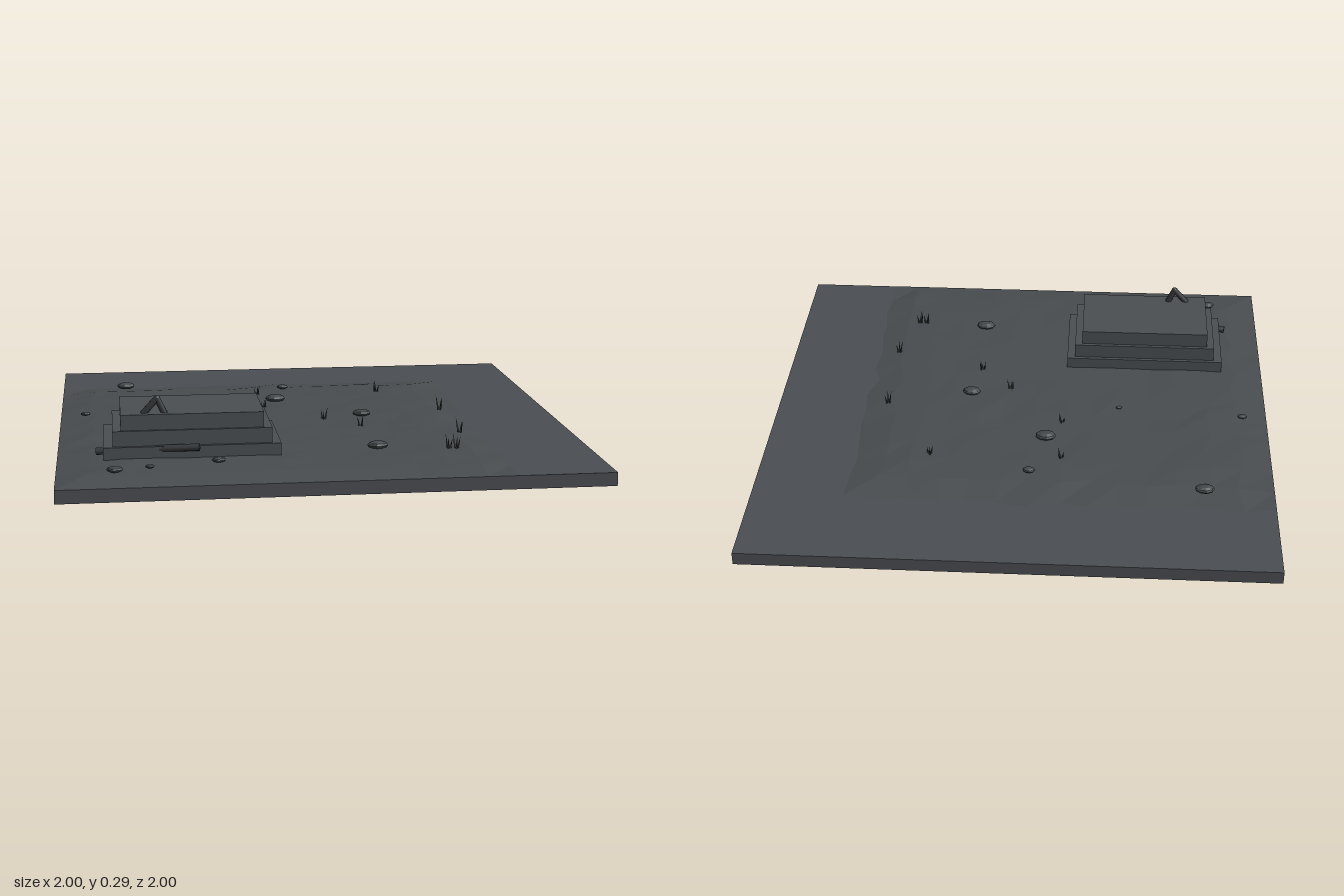
import * as THREE from 'three';

const mat = (name, color) => {
  const m = new THREE.MeshStandardMaterial({ color });
  m.name = name;
  return m;
};

export function createModel() {
  const model = new THREE.Group();
  const ground = mat('slate ground', 0x4a4d52);
  const soil = mat('grey soil', 0x484c4f);
  const masonry = mat('stone grey', 0x4a4e52);
  const pebble = mat('pebble grey', 0x44484b);
  pebble.flatShading = true;
  soil.flatShading = true;
  const metal = mat('dark iron', 0x34373a);
  const grass = mat('dark grass', 0x303433);
  grass.side = THREE.DoubleSide;

  const add = (name, geometry, material, x = 0, y = 0, z = 0) => {
    const mesh = new THREE.Mesh(geometry, material);
    mesh.name = name;
    mesh.position.set(x, y, z);
    model.add(mesh);
    return mesh;
  };

  let seed = 7;
  const rand = () => (seed = (seed * 16807) % 2147483647) / 2147483647 - 0.5;

  // Ground slab
  add('groundSlab', new THREE.BoxGeometry(2, 0.05, 2), ground, 0, 0.025, 0);

  // Low mound: a grid that rises from its border to an uneven plateau
  const N = 14;
  const mound = new THREE.PlaneGeometry(2, 2, N, N).rotateX(-Math.PI / 2);
  const p = mound.attributes.position;
  const spread = (i, low, high, lowRim, highRim) => {
    if (i === 0) return low;
    if (i === N) return high;
    const t = (i - 1) / (N - 2);
    return low + lowRim + t * (high - highRim - low - lowRim);
  };
  for (let i = 0; i < p.count; i++) {
    const c = i % (N + 1), r = Math.floor(i / (N + 1));
    const ring = Math.min(c, r, N - c, N - r);
    let x = spread(c, -1, 0.63, 0.13, 0.11);
    let z = spread(r, -0.64, 1, 0.13, 0.13);
    const j = rand() * 0.04, k = rand() * 0.04;
    if (c > 0) x += j;
    if (r < N) z += k;
    const rise = ring === 0 ? 0.0005 : ring === 1 ? 0.016 + rand() * 0.004 : 0.021 + rand() * 0.005;
    p.setXYZ(i, x, 0.05 + rise, z);
  }
  mound.computeVertexNormals();
  add('mound', mound, soil);

  // Stepped stone block, three tiers: x0, x1, z0, z1, bottom, top
  [
    [-0.83, -0.178, 0.31, 0.683, 0.05, 0.115],
    [-0.795, -0.21, 0.325, 0.67, 0.115, 0.172],
    [-0.765, -0.24, 0.34, 0.66, 0.172, 0.23],
  ].forEach(([x0, x1, z0, z1, y0, y1], i) => {
    add('blockTier' + (i + 1), new THREE.BoxGeometry(x1 - x0, y1 - y0, z1 - z0), masonry,
      (x0 + x1) / 2, (y0 + y1) / 2, (z0 + z1) / 2);
  });

  // Round rod between two points
  const rod = (name, a, b, radius) => {
    const A = new THREE.Vector3(...a), B = new THREE.Vector3(...b);
    const dir = B.clone().sub(A);
    const mesh = add(name, new THREE.CylinderGeometry(radius, radius, dir.length(), 10), metal);
    mesh.position.copy(A).add(B).multiplyScalar(0.5);
    mesh.quaternion.setFromUnitVectors(new THREE.Vector3(0, 1, 0), dir.normalize());
  };

  // Bent handle on top and a bar through the foot of the block
  rod('handleLongArm', [-0.683, 0.225, 0.624], [-0.63, 0.283, 0.624], 0.012);
  rod('handleShortArm', [-0.63, 0.283, 0.624], [-0.603, 0.225, 0.624], 0.012);
  add('handleJoint', new THREE.SphereGeometry(0.012, 10, 8), metal, -0.63, 0.283, 0.624);
  rod('fallenBar', [-0.855, 0.09, 0.625], [-0.48, 0.113, 0.699], 0.0135);

  // Scattered flat pebbles: x, z, radius
  [
    [-0.73, -0.55, 0.038], [-0.055, -0.46, 0.025], [-0.11, -0.225, 0.042], [-0.9, -0.04, 0.02],
    [-0.4, 0, 0.014], [0.21, 0.085, 0.037], [0.19, 0.62, 0.04], [-0.79, 0.855, 0.03],
    [-0.665, 0.82, 0.018], [-0.415, 0.76, 0.026],
  ].forEach(([x, z, r]) => {
    const stone = add('pebble', new THREE.SphereGeometry(r, 9, 6), pebble, x, 0.075 + r * 0.18, z);
    stone.scale.set(1, 0.38, 0.72);
  });

  // Grass tufts of thin leaning blades: x, z, height
  [
    [-0.175, -0.36, 0.045], [-0.17, -0.11, 0.04], [0.05, 0.13, 0.055], [0.18, 0.27, 0.055],
    [0.34, -0.36, 0.048], [0.55, 0, 0.062], [0.55, 0.4, 0.062], [0.455, 0.65, 0.058], [0.485, 0.65, 0.062],
  ].forEach(([x, z, h]) => {
    for (let b = 0; b < 3; b++) {
      const angle = b * 2.1 + x * 5;
      const size = h * (1 - 0.15 * b);
      const blade = new THREE.ConeGeometry(0.005, size, 3, 1, true)
        .translate(0, size / 2, 0).rotateZ(-0.2).rotateY(angle);
      add('grassBlade', blade, grass, x + Math.cos(angle) * 0.006, 0.067, z - Math.sin(angle) * 0.006);
    }
  });

  return model;
}
